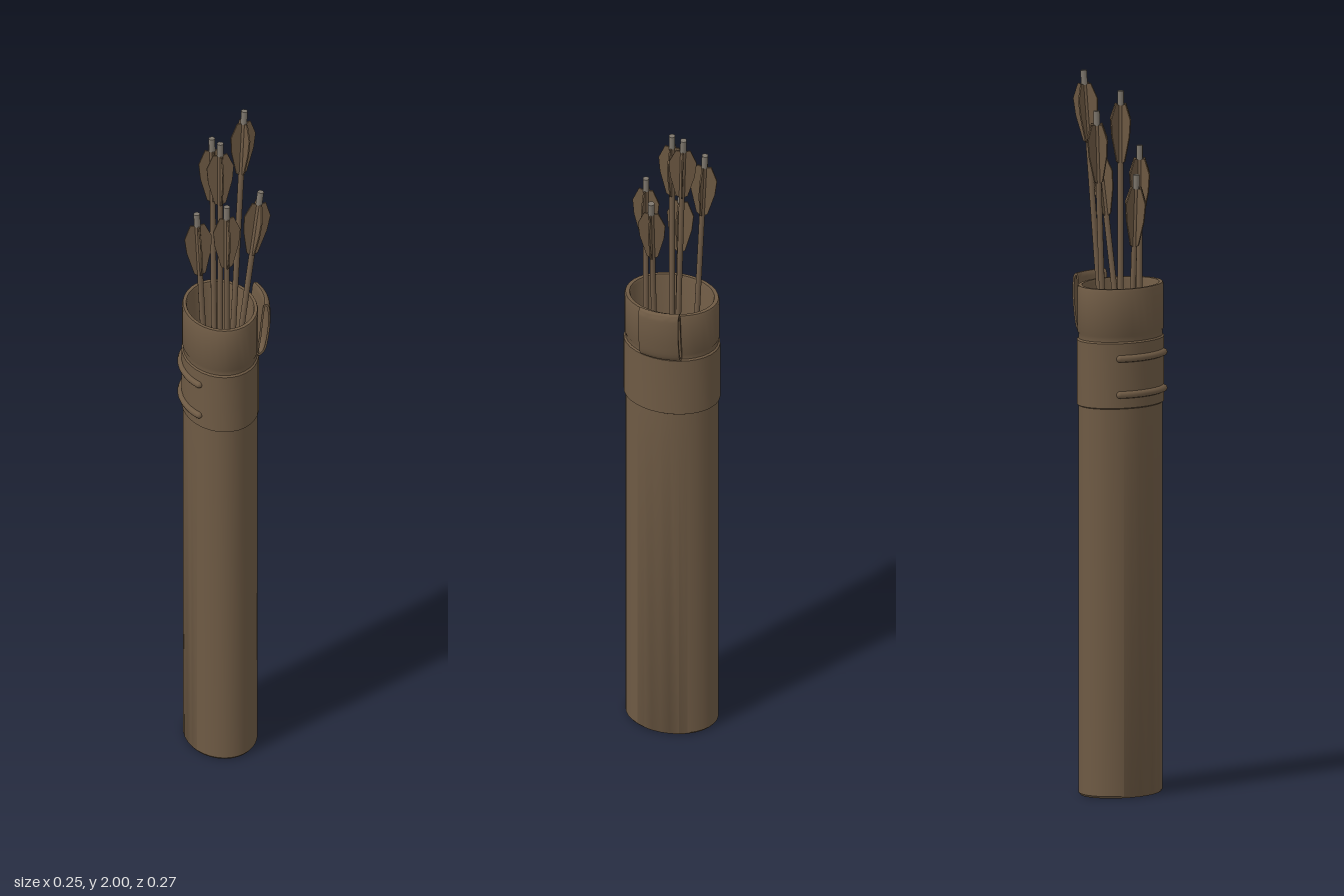
import * as THREE from 'three';
import { toCreasedNormals } from 'three/addons/utils/BufferGeometryUtils.js';

const CX = -0.02, FLAT = 0.77; // centre and squash of the oval tube

export function createModel() {
  const group = new THREE.Group();
  const mat = (name, color, side = THREE.FrontSide) => {
    const m = new THREE.MeshStandardMaterial({ color, side });
    m.name = name;
    return m;
  };
  const leather = mat('brown leather', 0x6e5a44);
  const wood = mat('brown wood', 0x6f5b46);
  const feather = mat('brown feather', 0x6c5842, THREE.DoubleSide);
  const horn = mat('grey horn', 0x7d766c);
  const add = (parent, name, geo, material) => {
    const mesh = new THREE.Mesh(geo, material);
    mesh.name = name;
    parent.add(mesh);
    return mesh;
  };

  // Oval tube with a raised band, a collar and a hollow mouth
  const profile = [
    [0, 0], [0.125, 0], [0.13, 0.006], [0.13, 1.08], [0.135, 1.083], [0.135, 1.262],
    [0.13, 1.266], [0.13, 1.28], [0.133, 1.285], [0.133, 1.405], [0.13, 1.412],
    [0.119, 1.412], [0.116, 1.405], [0.116, 0.8], [0, 0.8],
  ].map(([r, y]) => new THREE.Vector2(r, y));
  const tubeGeo = new THREE.LatheGeometry(profile, 32);
  tubeGeo.scale(FLAT, 1, 1).translate(CX, 0, 0);
  add(group, 'quiverTube', toCreasedNormals(tubeGeo, 0.6), leather);

  // Belt loop: a thin closed ring, extruded and bent around the tube
  const ring = new THREE.CatmullRomCurve3([
    [0.083, 1.27], [0.098, 1.28], [0.11, 1.33], [0.114, 1.39],
    [0.109, 1.427], [0.102, 1.43], [0.096, 1.4], [0.089, 1.33],
  ].map(([x, y]) => new THREE.Vector3(x, y, 0)), true);
  const outline = (offset) => Array.from({ length: 32 }, (_, i) => {
    const p = ring.getPoint(i / 32), t = ring.getTangent(i / 32);
    return new THREE.Vector2(p.x + t.y * offset, p.y - t.x * offset);
  });
  const loopShape = new THREE.Shape(outline(0.003));
  loopShape.holes.push(new THREE.Path(outline(-0.003)));
  const loopGeo = new THREE.ExtrudeGeometry(loopShape, { depth: 0.114, steps: 8, bevelEnabled: false });
  loopGeo.translate(0, 0, -0.058);
  const pos = loopGeo.attributes.position;
  for (let i = 0; i < pos.count; i++) {
    const drop = 0.1 * (1 - Math.sqrt(1 - (pos.getZ(i) / 0.13) ** 2));
    pos.setX(i, pos.getX(i) - drop);
  }
  add(group, 'beltLoop', toCreasedNormals(loopGeo, 0.7), leather);

  // Two cords lying on the band, with rounded ends
  for (const y of [1.12, 1.22]) {
    const points = [];
    for (let i = 0; i <= 8; i++) {
      const a = (i / 4 - 1) * 0.69;
      points.push(new THREE.Vector3(CX - 0.105 * Math.cos(a), y, 0.136 * Math.sin(a)));
    }
    const path = new THREE.CatmullRomCurve3(points);
    add(group, 'sideCord', new THREE.TubeGeometry(path, 20, 0.01, 8), leather);
    for (const end of [points[0], points[8]]) {
      add(group, 'cordEnd', new THREE.SphereGeometry(0.01, 8, 6), leather).position.copy(end);
    }
  }

  // Arrows: nock at the origin, pointing down -y before being leaned
  const vane = new THREE.Shape([
    [0, -0.04], [0.02, -0.036], [0.038, -0.078], [0.034, -0.125], [0.016, -0.195], [0, -0.205],
  ].map(([x, y]) => new THREE.Vector2(x, y)));
  const vaneGeo = new THREE.ExtrudeGeometry(vane, { depth: 0.004, bevelEnabled: false });
  vaneGeo.translate(0, 0, -0.002);
  const up = new THREE.Vector3(0, 1, 0);

  function addArrow(nock, tip, spin = 0) {
    const top = new THREE.Vector3(...nock), bottom = new THREE.Vector3(...tip);
    const length = top.distanceTo(bottom);
    const arrow = new THREE.Group();
    arrow.name = 'arrow';
    add(arrow, 'shaft', new THREE.CylinderGeometry(0.008, 0.008, length - 0.036, 10), wood)
      .position.y = -(length + 0.036) / 2;
    add(arrow, 'nock', new THREE.CylinderGeometry(0.009, 0.009, 0.04, 10), horn).position.y = -0.02;
    for (let i = 0; i < 4; i++) {
      add(arrow, 'feather', vaneGeo, feather).rotation.y = spin + i * Math.PI / 2;
    }
    arrow.position.copy(top);
    arrow.quaternion.setFromUnitVectors(up, top.clone().sub(bottom).normalize());
    group.add(arrow);
  }
  addArrow([0.063, 2.0, -0.06], [0.007, 1.0, -0.018], 0.25);
  addArrow([-0.02, 1.945, 0], [-0.02, 0.8, 0]);
  addArrow([-0.02, 1.9, -0.095], [-0.02, 0.8, -0.048]);
  addArrow([-0.02, 1.785, 0.075], [-0.02, 0.8, 0.075]);
  addArrow([0.088, 1.785, 0.025], [0, 1.11, 0.04], 0.1);
  addArrow([-0.085, 1.72, -0.005], [-0.047, 0.9, 0]);

  return group;
}
